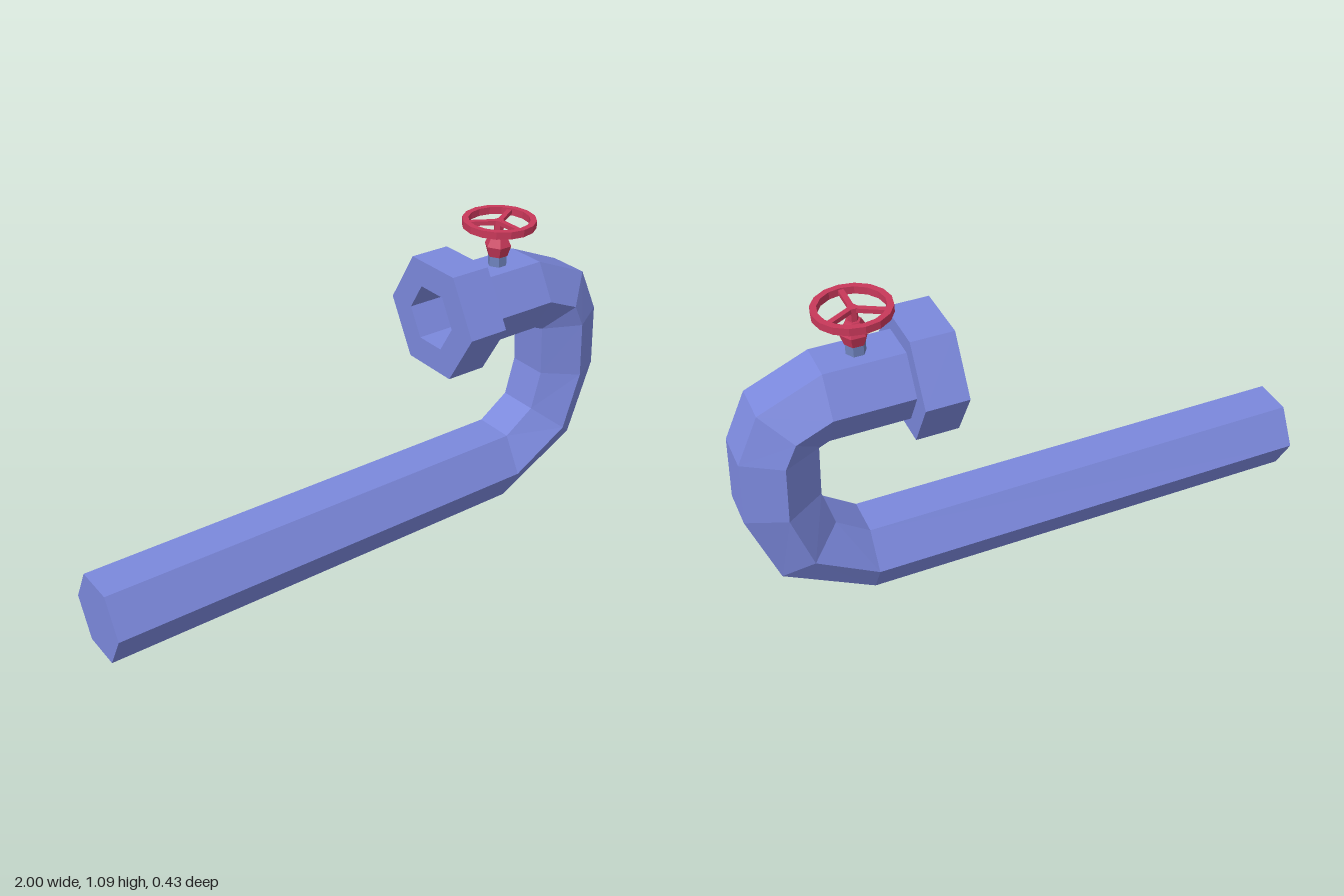
import * as THREE from 'three';

const HEX = Math.PI / 3;

function material(name, color) {
  const m = new THREE.MeshStandardMaterial({ color, flatShading: true });
  m.name = name;
  return m;
}

// Hexagonal pipe lofted through [outerX, outerY, innerX, innerY] stations, capped at the start
function hexPipe(stations, radius) {
  const rings = stations.map(([ox, oy, ix, iy]) =>
    Array.from({ length: 6 }, (_, i) => {
      const s = Math.sin(i * HEX) / Math.sin(HEX) / 2;
      return [(ox + ix) / 2 + (ox - ix) * s, (oy + iy) / 2 + (oy - iy) * s, radius * Math.cos(i * HEX)];
    }));
  const pos = [];
  const tri = (a, b, c) => pos.push(...a, ...b, ...c);
  for (let k = 0; k < rings.length - 1; k++) {
    for (let i = 0; i < 6; i++) {
      const j = (i + 1) % 6;
      tri(rings[k][i], rings[k][j], rings[k + 1][j]);
      tri(rings[k][i], rings[k + 1][j], rings[k + 1][i]);
    }
  }
  for (let i = 1; i < 5; i++) tri(rings[0][0], rings[0][i + 1], rings[0][i]);
  const g = new THREE.BufferGeometry();
  g.setAttribute('position', new THREE.Float32BufferAttribute(pos, 3));
  g.computeVertexNormals();
  return g;
}

// Rectangular-section ring about the y axis
function ring(inner, outer, height, sides) {
  const h = height / 2;
  const profile = [[inner, -h], [outer, -h], [outer, h], [inner, h], [inner, -h]];
  return new THREE.LatheGeometry(profile.map(([x, y]) => new THREE.Vector2(x, y)), sides);
}

export function createModel() {
  const model = new THREE.Group();
  model.name = 'valvePipe';
  const blue = material('pipeBlue', 0x7b88dc);
  const steel = material('stemBlueGrey', 0x6f83bd);
  const red = material('valveRed', 0xc8385a);

  const add = (parent, name, geometry, mat, x = 0, y = 0, z = 0) => {
    const mesh = new THREE.Mesh(geometry, mat);
    mesh.name = name;
    mesh.position.set(x, y, z);
    parent.add(mesh);
    return mesh;
  };

  // Pipe: long lower run, bend, short upper run
  add(model, 'pipe', hexPipe([
    [-1, 0, -1, 0.258],
    [0.6, 0.015, 0.6, 0.267],
    [0.905, 0.185, 0.71, 0.345],
    [0.997, 0.45, 0.745, 0.48],
    [0.985, 0.675, 0.735, 0.66],
    [0.91, 0.835, 0.73, 0.662],
    [0.7, 0.925, 0.7, 0.675],
    [0.42, 0.925, 0.42, 0.675],
  ], 0.143), blue);

  // Flange at the open mouth
  const flange = add(model, 'flange', ring(0.11, 0.214, 0.145, 6), blue, 0.3625, 0.8, 0);
  flange.rotation.z = -Math.PI / 2;

  // Valve on the upper run
  const valve = new THREE.Group();
  valve.name = 'valve';
  valve.position.x = 0.57;
  model.add(valve);
  add(valve, 'valveNeck', new THREE.CylinderGeometry(0.033, 0.033, 0.06, 6, 1, false, HEX / 2), steel, 0, 0.935);

  const bonnet = [[0, 0.96], [0.035, 0.96], [0.047, 0.997], [0.025, 1.04], [0, 1.04]];
  add(valve, 'bonnet', new THREE.LatheGeometry(
    bonnet.map(([x, y]) => new THREE.Vector2(x, y)), 6, HEX / 2), red);
  add(valve, 'spindle', new THREE.CylinderGeometry(0.017, 0.017, 0.05, 6, 1, false, HEX / 2), red, 0, 1.06);

  // Handwheel with three spokes
  const wheel = new THREE.Group();
  wheel.name = 'handwheel';
  wheel.position.y = 1.077;
  valve.add(wheel);
  add(wheel, 'wheelRim', ring(0.104, 0.125, 0.025, 16), red);
  for (let i = 0; i < 3; i++) {
    const a = i * 2 * HEX;
    const spoke = add(wheel, 'spoke', new THREE.BoxGeometry(0.018, 0.015, 0.108), red,
      0.054 * Math.sin(a), 0, 0.054 * Math.cos(a));
    spoke.rotation.y = a;
  }
  return model;
}
